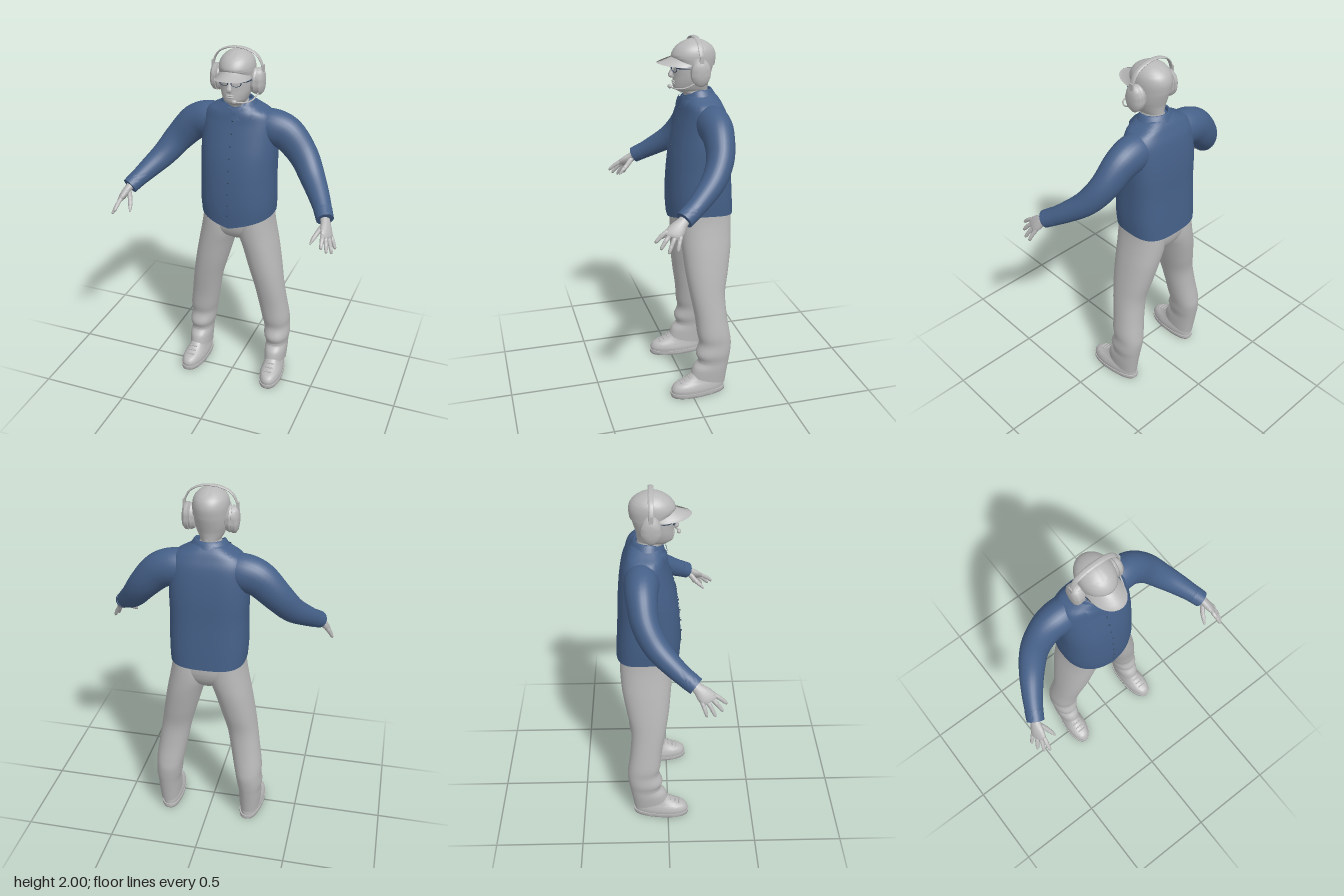
import * as THREE from 'three';
import { toCreasedNormals } from 'three/addons/utils/BufferGeometryUtils.js';

const V = (x, y, z) => new THREE.Vector3(x, y, z);
const mat = (name, color) => Object.assign(new THREE.MeshStandardMaterial({ color }), { name });
const spow = (v, e) => Math.sign(v) * Math.abs(v) ** e;

// Catmull-Rom resampling of rows of numbers
function smooth(keys, n = 5) {
  const out = [];
  for (let i = 0; i < keys.length - 1; i++) {
    const [a, b, c, d] = [-1, 0, 1, 2].map(k => keys[Math.min(Math.max(i + k, 0), keys.length - 1)]);
    for (let k = 0; k < n; k++) {
      const t = k / n;
      out.push(b.map((_, j) => b[j] + 0.5 * t * (c[j] - a[j] + t * (2 * a[j] - 5 * b[j] + 4 * c[j] - d[j]
        + t * (3 * (b[j] - c[j]) + d[j] - a[j])))));
    }
  }
  out.push(keys[keys.length - 1]);
  return out;
}

// Closed skin over a list of point rings, capped at both ends
function skin(rings, crease = 1) {
  const m = rings[0].length, n = rings.length, pos = [], idx = [];
  rings.flat().forEach(p => pos.push(p.x, p.y, p.z));
  for (const r of [rings[0], rings[n - 1]]) {
    const c = r.reduce((s, p) => s.add(p), V(0, 0, 0)).divideScalar(m);
    pos.push(c.x, c.y, c.z);
  }
  for (let j = 0; j < m; j++) {
    const k = (j + 1) % m, top = (n - 1) * m;
    for (let i = 0; i < n - 1; i++) {
      const a = i * m + j, b = a + m, c = i * m + k, d = c + m;
      idx.push(a, b, c, c, b, d);
    }
    idx.push(n * m, j, k, n * m + 1, top + k, top + j);
  }
  const g = new THREE.BufferGeometry();
  g.setAttribute('position', new THREE.Float32BufferAttribute(pos, 3));
  g.setIndex(idx);
  return toCreasedNormals(g, crease);
}

// Level rings from rows [y, x, zFront, zBack, halfWidth]; nf, nb square off front and back
function stack(keys, { nf = 2, nb = 2, warp, seg = 40 } = {}) {
  return skin(smooth(keys).map(([y, x, zf, zb, w]) => Array.from({ length: seg }, (_, j) => {
    const a = j / seg * Math.PI * 2, c = Math.cos(a), s = Math.sin(a), e = 2 / (s > 0 ? nf : nb);
    const p = V(x + w * spow(c, e), y, (zf + zb) / 2 + (zf - zb) / 2 * spow(s, e));
    if (warp) warp(p, y, s, x);
    return p;
  })));
}

// Tube along rows [x, y, z, a, b], a being the radius along the wide direction
function limb(keys, wide, s = 1, seg = 16, n = 5) {
  const rows = smooth(keys, n).map(r => [V(r[0] * s, r[1], r[2]), r[3], r[4]]);
  const ref = V(wide[0] * s, wide[1], wide[2]);
  return skin(rows.map(([p, a, b], i) => {
    const T = rows[Math.min(i + 1, rows.length - 1)][0].clone().sub(rows[Math.max(i - 1, 0)][0]).normalize();
    const U = ref.clone().addScaledVector(T, -ref.dot(T)).normalize(), W = U.clone().cross(T);
    return Array.from({ length: seg }, (_, j) => {
      const q = j / seg * Math.PI * 2;
      return p.clone().addScaledVector(U, a * Math.cos(q)).addScaledVector(W, b * Math.sin(q));
    });
  }));
}

// Shirt body rows and the height of its front surface
const TORSO = [[1.06, 0, .07, -.28, .205], [1.15, 0, .075, -.275, .21], [1.3, 0, .065, -.265, .208],
  [1.42, 0, .047, -.26, .21], [1.52, 0, .022, -.25, .207], [1.6, 0, 0, -.235, .2],
  [1.65, 0, -.01, -.215, .175], [1.68, 0, -.02, -.2, .125], [1.705, 0, -.03, -.18, .08]];
const NF = 2.3, ROWS = smooth(TORSO);
function frontZ(x, y) {
  const i = Math.max(1, ROWS.findIndex(r => r[0] >= y)), a = ROWS[i - 1], b = ROWS[i];
  const t = (y - a[0]) / (b[0] - a[0]), [, , zf, zb, w] = a.map((v, k) => v + (b[k] - v) * t);
  return (zf + zb) / 2 + (zf - zb) / 2 * Math.max(0, 1 - (Math.abs(x) / w) ** NF) ** (1 / NF);
}
// Thin cloth patch laid over the shirt front between four corners [x, y]
function patch([a, b, c, d], lift) {
  const g = new THREE.PlaneGeometry(1, 1, 8, 12), p = g.attributes.position;
  for (let i = 0; i < p.count; i++) {
    const u = p.getX(i) + .5, v = p.getY(i) + .5;
    const at = k => (a[k] * (1 - u) + b[k] * u) * (1 - v) + (d[k] * (1 - u) + c[k] * u) * v;
    p.setXYZ(i, at(0), at(1), frontZ(at(0), at(1)) + lift);
  }
  g.computeVertexNormals();
  return g;
}

export function createModel() {
  const root = new THREE.Group();
  const grey = mat('light grey', 0xb8b8b8), blue = mat('shirt blue', 0x456088), dark = mat('dark blue', 0x2c405c);
  blue.side = THREE.DoubleSide;
  const add = (name, geo, m, x = 0, y = 0, z = 0) => {
    const mesh = new THREE.Mesh(geo, m);
    mesh.name = name;
    mesh.position.set(x, y, z);
    root.add(mesh);
    return mesh;
  };

  // Shirt with a dipped hem, placket, buttons and collar
  add('shirtBody', stack(TORSO, { nf: NF, nb: 3, seg: 64, warp: (p, y, s) => {
    const k = Math.max(0, (1.2 - y) / .14);
    p.y -= k * (s > 0 ? .05 * Math.max(0, 1 - Math.abs(p.x) / .2) : .018 * -s);
  } }), blue);
  add('placket', patch([[-.016, 1.062], [.016, 1.062], [.016, 1.66], [-.016, 1.66]], .003), blue);
  for (let i = 0; i < 9; i++) {
    const y = 1.09 + i * .066;
    add('button', new THREE.SphereGeometry(.0045, 10, 8), dark, 0, y, frontZ(0, y) + .004);
  }
  add('collar', stack([[1.665, 0, 0, -.205, .12], [1.695, 0, -.008, -.19, .1], [1.725, 0, -.018, -.17, .078],
    [1.715, 0, -.025, -.162, .07], [1.67, 0, -.03, -.158, .064]],
    { warp: (p, y, s) => { if (s > 0) p.y -= .045 * s * s; } }), blue);

  // Trousers
  add('trouserSeat', stack([[.9, 0, -.04, -.2, .06], [.935, 0, .005, -.235, .14], [.98, 0, .025, -.255, .195],
    [1.03, 0, .03, -.262, .2], [1.1, 0, .03, -.26, .195]], { nf: 2.5, nb: 2.4 }), grey);

  // Head, neck and face
  add('head', stack([[1.62, 0, -.03, -.16, .062], [1.695, 0, -.022, -.155, .06], [1.715, 0, .012, -.153, .052],
    [1.732, 0, .034, -.153, .062], [1.765, 0, .036, -.157, .076], [1.8, 0, .034, -.167, .085],
    [1.85, 0, .035, -.18, .089], [1.9, 0, .03, -.183, .088]], { nf: 2.1 }), grey);
  add('nose', limb([[0, 1.848, .032, .008, .008], [0, 1.815, .046, .011, .011], [0, 1.8, .05, .016, .012],
    [0, 1.792, .036, .01, .008]], [1, 0, 0]), grey);
  for (const y of [1.768, 1.758]) add('lip', new THREE.SphereGeometry(1, 16, 8), grey, 0, y, .033).scale.set(.024, .006, .009);

  // Peaked cap
  add('capCrown', stack([[1.85, 0, .038, -.188, .092], [1.9, 0, .046, -.193, .094], [1.94, 0, .026, -.178, .084],
    [1.968, 0, -.01, -.143, .058], [1.984, 0, -.05, -.1, .025], [1.986, 0, -.07, -.08, .005]],
    { warp: (p, y, s) => { if (s > 0 && y < 1.9) p.y += (1.9 - y) * .8 * s; } }), grey);
  add('capPeak', skin(Array.from({ length: 25 }, (_, i) => {
    const q = (i / 24 - .5) * Math.PI, s = Math.sin(q), c = Math.cos(q);
    const a = V(.09 * s, 1.898 - .036 * s * s, -.075 + .117 * c), b = V(.088 * s, 1.868 - .016 * s * s, .126 * c);
    return Array.from({ length: 10 }, (_, j) => {
      const w = j / 10 * Math.PI * 2;
      return a.clone().lerp(b, .5 - .5 * Math.cos(w)).add(V(0, .004 * Math.sin(w), 0));
    });
  })), grey);

  // Headset bands and microphone
  add('headband', limb([[-.138, 1.86, -.08, .005, .013], [-.132, 1.915, -.08, .005, .013], [-.105, 1.962, -.08, .005, .014],
    [-.055, 1.988, -.08, .005, .015], [0, 1.995, -.08, .005, .015], [.055, 1.988, -.08, .005, .015],
    [.105, 1.962, -.08, .005, .014], [.132, 1.915, -.08, .005, .013], [.138, 1.86, -.08, .005, .013]], [0, 1, .001]), grey);
  add('microphoneBoom', limb([[.125, 1.775, -.05, .004, .004], [.112, 1.75, 0, .004, .004], [.08, 1.744, .045, .004, .004],
    [.035, 1.748, .062, .004, .004]], [0, 1, 0], 1, 8), grey);
  add('microphone', new THREE.SphereGeometry(.011, 14, 10), grey, .032, 1.748, .063).scale.x = 1.4;
  add('glassesBridge', new THREE.BoxGeometry(.018, .004, .004), dark, 0, 1.845, .045);

  for (const s of [1, -1]) {
    // Sleeve and cuff
    add('sleeve', limb([[.11, 1.57, -.13, .09, .085], [.19, 1.562, -.132, .1, .09], [.27, 1.53, -.132, .096, .082],
      [.36, 1.437, -.115, .082, .072], [.43, 1.345, -.06, .07, .065], [.5, 1.27, .03, .056, .054],
      [.553, 1.213, .115, .044, .045]], [1, 1, 0], s, 28), blue);
    add('cuff', limb([[.535, 1.233, .085, .049, .05], [.561, 1.204, .132, .046, .047]], [1, 1, 0], s, 28), blue);

    // Hand: palm, fingers and thumb
    const wide = [.35, -.3, -.85];
    add('palm', limb([[.55, 1.215, .11, .028, .024], [.566, 1.195, .14, .03, .022], [.58, 1.168, .17, .042, .021],
      [.592, 1.145, .195, .045, .015], [.598, 1.135, .203, .036, .009]], wide, s), grey);
    [[.585, 1.11, .285], [.61, 1.082, .264], [.63, 1.064, .228], [.637, 1.07, .184]].forEach((tip, i) => {
      const k = -.036 + i * .024, base = [.588 + wide[0] * k, 1.15 + wide[1] * k, .19 + wide[2] * k];
      const at = (t, r) => [...base.map((v, j) => v + (tip[j] - v) * t + (j === 1 ? .02 * t * (1 - t) : 0)), r, r];
      add('finger', limb([at(0, .012), at(.5, .011), at(.9, .0085), at(1, .003)], wide, s, 10), grey);
    });
    add('thumb', limb([[.565, 1.19, .14, .016, .014], [.54, 1.15, .178, .015, .013], [.524, 1.122, .212, .011, .011],
      [.515, 1.1, .235, .004, .004]], wide, s, 10), grey);

    // Trouser leg with soft folds at the shin and a tilted hem
    const leg = [[.085, .242, .0, -.2, .06], [.15, .243, -.015, -.212, .064], [.2, .242, -.045, -.222, .064],
      [.25, .24, -.032, -.23, .073], [.31, .234, -.052, -.235, .074], [.37, .228, -.042, -.228, .08],
      [.47, .212, -.032, -.214, .082], [.6, .19, -.01, -.208, .085], [.72, .164, .008, -.23, .093],
      [.85, .134, .02, -.252, .1], [.94, .11, .027, -.26, .106], [1.02, .101, .03, -.26, .101], [1.1, .1, .025, -.255, .095]];
    add('trouserLeg', stack(leg.map(([y, x, ...r]) => [y, x * s, ...r]), { nf: 2.2, nb: 2.2,
      warp: (p, y, q) => { p.y += .032 * q * Math.max(0, 1 - (y - .085) / .12); } }), grey);

    // Shoe
    const toeOut = (p, y, q, x) => { p.x += s * (p.z + .04) * .06 - (p.x - x) * .16 * Math.max(0, -p.z) / .2; };
    add('shoeSole', stack([[0, .245 * s, .117, -.198, .064], [.006, .245 * s, .121, -.202, .067],
      [.027, .245 * s, .122, -.202, .068]], { nf: 2.3, nb: 2.6, warp: toeOut }), grey);
    add('shoeUpper', stack([[.02, .245 * s, .115, -.196, .063], [.045, .245 * s, .117, -.196, .065],
      [.07, .245 * s, .1, -.194, .059], [.088, .244 * s, .058, -.19, .053], [.108, .243 * s, .02, -.187, .049],
      [.13, .242 * s, -.005, -.18, .046]], { nf: 2.3, nb: 2.4, warp: toeOut }), grey);
    for (let i = 0; i < 3; i++) {
      add('lace', new THREE.CapsuleGeometry(.004, .04, 4, 8), grey, .249 * s, .113 - i * .013, .015 + i * .025).rotation.z = Math.PI / 2;
    }

    // Headset ear cup
    const cup = [[.075, .04], [.082, .062], [.1, .071], [.11, .066], [.112, .073], [.13, .071], [.142, .056], [.147, .03], [.148, 0]];
    const cupGeo = new THREE.LatheGeometry(cup.map(([h, r]) => new THREE.Vector2(r, h)), 32);
    cupGeo.scale(.7, 1, 1).rotateZ(-Math.PI / 2).rotateY(0);
    const squash = toCreasedNormals(cupGeo.rotateX(Math.PI / 2).rotateX(Math.PI / 2), .7);
    squash.scale(1, 1, .72 / 1).scale(1, 1 / .7, 1);
    const ear = add('earCup', squash, grey, 0, 1.827, -.08);
    if (s < 0) ear.rotation.y = Math.PI;
    add('bandSlider', new THREE.BoxGeometry(.01, .06, .022), grey, .138 * s, 1.885, -.08);

    // Glasses
    const lens = add('glassesRim', new THREE.TorusGeometry(.026, .0022, 6, 28), dark, .034 * s, 1.837, .039);
    lens.scale.y = .62;
    lens.rotation.y = .28 * s;
    add('glassesArm', limb([[.059, 1.845, .031, .003, .002], [.087, 1.845, 0, .003, .002], [.095, 1.843, -.07, .003, .002]],
      [0, 1, 0], s, 8), dark);

    // Collar point and pocket
    add('collarPoint', patch([[.062, 1.597], [.085, 1.625], [.1, 1.683], [.012, 1.672]].map(([x, y]) => [x * s, y]), .012), blue);
    add('pocketFlap', patch([[.05, 1.385], [.15, 1.385], [.15, 1.415], [.05, 1.415]].map(([x, y]) => [x * s, y]), .005), blue);
  }
  return root;
}
